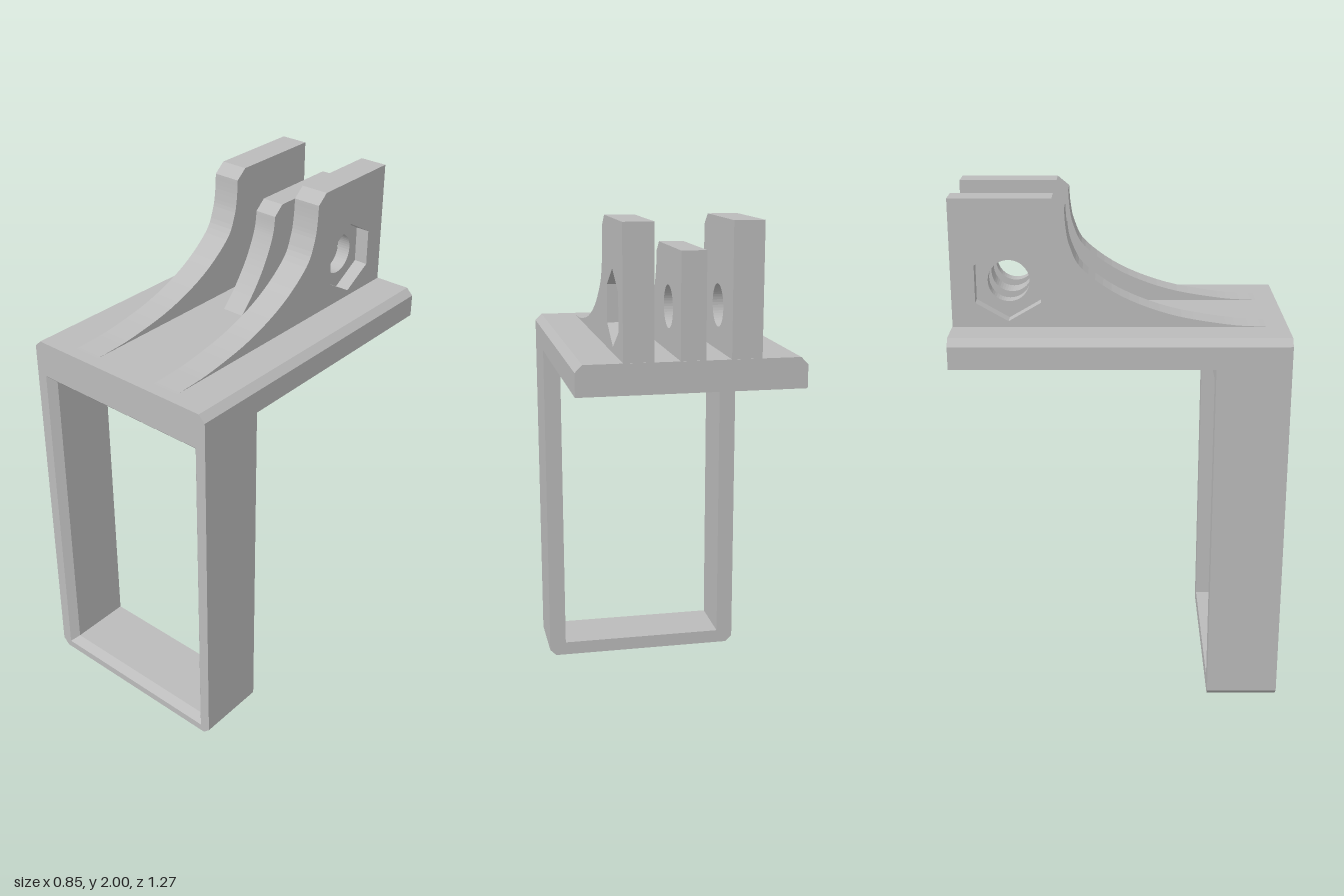
import * as THREE from 'three';

const grey = new THREE.MeshStandardMaterial({ color: 0xbbbbbb });
grey.name = 'grey plastic';

const polygon = (Type, pts) => new Type(pts.map(([x, y]) => new THREE.Vector2(x, y)));

function addPart(group, name, geometry) {
  const mesh = new THREE.Mesh(geometry, grey);
  mesh.name = name;
  group.add(mesh);
  return mesh;
}

// Upright slab: side profile given as [z, y], extruded along x from x0
function slab(profile, hole, x0, thickness) {
  const shape = polygon(THREE.Shape, profile.map(([z, y]) => [-z, y]));
  shape.holes.push(hole);
  const g = new THREE.ExtrudeGeometry(shape, { depth: thickness, bevelEnabled: false, curveSegments: 24 });
  return g.rotateY(Math.PI / 2).translate(x0, 0, 0);
}

// Profile of a fin: straight back, chamfered top, concave front sweep
function finProfile(top, sweep) {
  const curve = new THREE.SplineCurve(sweep.map(([z, y]) => new THREE.Vector2(z, y)));
  const front = curve.getPoints(40).map((p) => [p.x, p.y]);
  const foot = front[front.length - 1][0];
  return [[-0.632, 1.46], [-0.632, top], [-0.25, top], ...front, [foot, 1.46]];
}

export function createModel() {
  const model = new THREE.Group();
  model.name = 'bracket';
  const W = 0.423, H = 1.515, C = 0.027;

  // Frame: chamfered outer corners, opening flared at the front
  const frameShape = polygon(THREE.Shape, [
    [-W + C, 0], [W - C, 0], [W, C], [W, H - C], [W - C, H], [-W + C, H], [-W, H - C], [-W, C],
  ]);
  const ix = 0.352, iy0 = 0.058, iy1 = 1.343, flare = 0.028;
  frameShape.holes.push(polygon(THREE.Path, [[-ix, iy0], [-ix, iy1], [ix, iy1], [ix, iy0]]));
  const frame = new THREE.ExtrudeGeometry(frameShape, { depth: 0.28, steps: 2, bevelEnabled: false });
  const p = frame.attributes.position;
  for (let i = 0; i < p.count; i++) {
    const x = p.getX(i), y = p.getY(i), z = p.getZ(i);
    if (Math.abs(z - 0.14) < 0.01) p.setZ(i, 0.25);
    const inner = Math.abs(x) < ix + 0.005 && y > iy0 - 0.005 && y < iy1 + 0.005;
    if (z > 0.27 && inner) {
      p.setX(i, x + Math.sign(x) * flare);
      p.setY(i, y + (y > 0.7 ? flare : -flare));
    }
  }
  frame.computeVertexNormals();
  frame.translate(0, 0, 0.354);
  addPart(model, 'frame', frame);

  // Top plate running back from the frame
  const plateShape = polygon(THREE.Shape, [
    [-W, 1.4], [W, 1.4], [W, H - C], [W - C, H], [-W + C, H], [-W, H - C],
  ]);
  const plate = new THREE.ExtrudeGeometry(plateShape, { depth: 0.989, bevelEnabled: false });
  addPart(model, 'topPlate', plate.translate(0, 0, -0.634));

  // Bolt hole and hexagonal nut recess, shared centre
  const cx = 0.42, cy = 1.68;
  const boltHole = new THREE.Path().absarc(cx, cy, 0.079, 0, Math.PI * 2, true);
  const hexHole = polygon(THREE.Path, Array.from({ length: 6 }, (_, i) => {
    const a = Math.PI / 2 - i * Math.PI / 3;
    return [cx + 0.142 * Math.cos(a), cy + 0.142 * Math.sin(a)];
  }));

  // Outer fins: an inner layer with the bolt hole, an outer one with the nut recess
  const outer = finProfile(2, [
    [-0.205, 1.963], [-0.2, 1.89], [-0.185, 1.82], [-0.14, 1.737], [0, 1.637],
    [0.19, 1.564], [0.4, 1.526], [0.53, 1.517], [0.62, 1.514],
  ]);
  const half = 0.056;
  for (const side of [1, -1]) {
    const fin = new THREE.Group();
    fin.name = side > 0 ? 'leftFin' : 'rightFin';
    const start = (near) => (side > 0 ? near : -near - half);
    addPart(fin, 'boltLayer', slab(outer, boltHole, start(0.14), half));
    addPart(fin, 'nutLayer', slab(outer, hexHole, start(0.14 + half), half));
    model.add(fin);
  }

  // Shorter middle fin
  const middle = finProfile(1.9, [
    [-0.207, 1.863], [-0.195, 1.79], [-0.15, 1.69], [-0.085, 1.595], [-0.012, 1.514],
  ]);
  addPart(model, 'middleFin', slab(middle, boltHole, -0.046, 0.092));

  return model;
}
